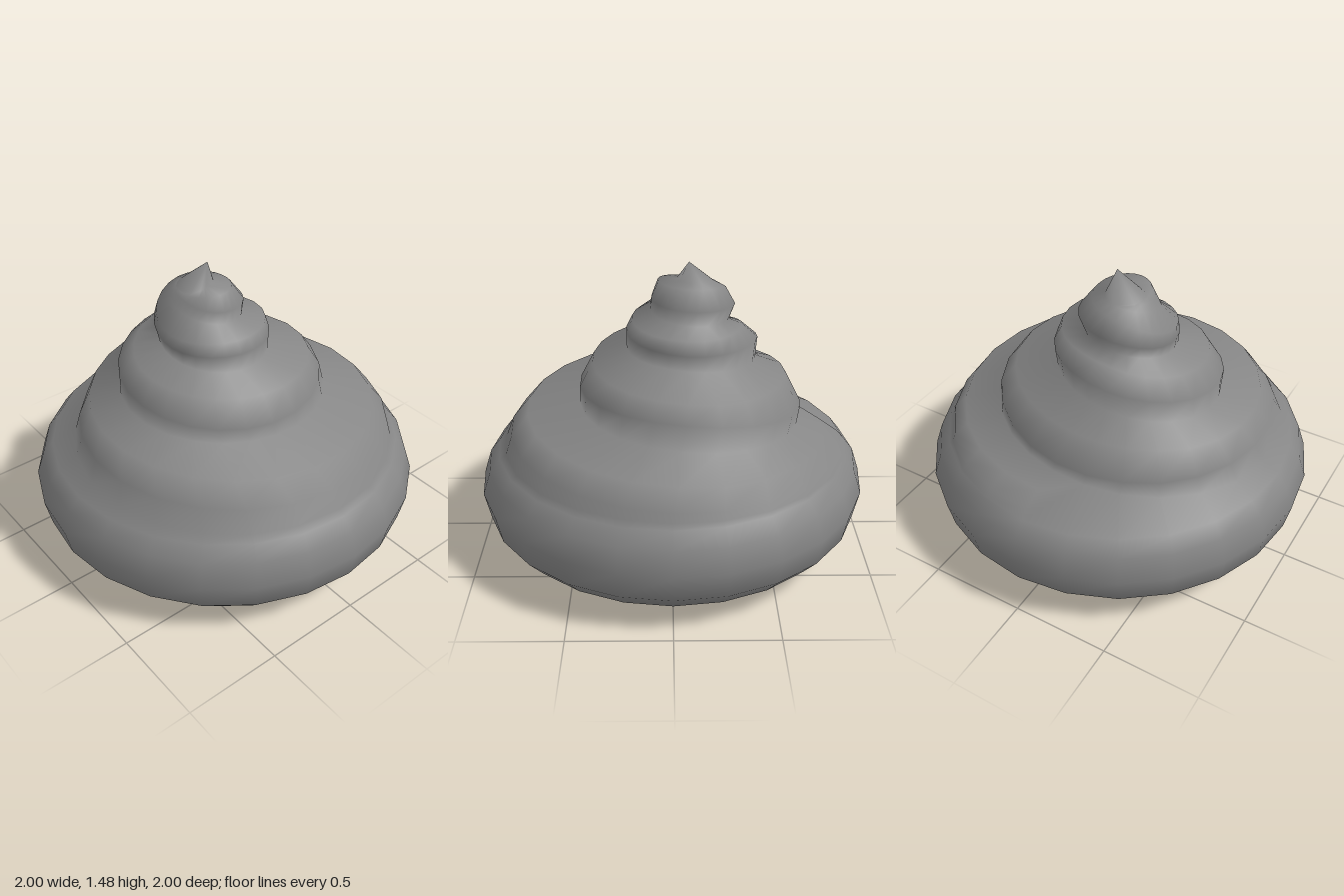
import * as THREE from 'three';
import { mergeVertices } from 'three/addons/utils/BufferGeometryUtils.js';

const STEPS = 6; // segments per quarter turn
const FIRST = -3, LAST = 13; // quarter turns covered by the coil

// Direction of quarter turn t: 0 = -x, 1 = back, 2 = +x, 3 = front
const dir = (t) => [-Math.cos(t * Math.PI / 2), -Math.sin(t * Math.PI / 2)];

// The swirl's axis drifts towards the back right as it rises
const axis = (y) => {
  const s = THREE.MathUtils.smoothstep(y, 0.55, 0.9);
  return [-0.08 * s, -0.07 * s];
};

const place = (t, r, y) => {
  const [dx, dz] = dir(t), [cx, cz] = axis(y);
  return new THREE.Vector3(cx + r * dx, y, cz + r * dz);
};

// Smooth helical line through one [reach, height] pair per quarter turn
function helix(knots) {
  const curve = new THREE.CatmullRomCurve3(knots.map(([reach, y], i) => {
    const [dx, dz] = dir(i + FIRST), [cx, cz] = axis(y);
    return new THREE.Vector3(reach - dx * cx - dz * cz, y, 0);
  }), false, 'catmullrom');
  return (t) => {
    const p = curve.getPoint((t - FIRST) / (knots.length - 1));
    return place(t, p.x, p.y);
  };
}

// Groove between neighbouring turns, then the belly and shoulder of the coil
const groove = helix([
  [0.905, 0.53], [0.875, 0.55], [0.87, 0.55], [0.83, 0.58],
  [0.66, 0.66], [0.58, 0.75], [0.47, 0.78], [0.54, 0.84],
  [0.43, 0.95], [0.26, 1.02], [0.23, 1.04], [0.31, 1.09],
  [0.29, 1.17], [0.12, 1.2], [0.11, 1.24], [0.24, 1.31],
  [0.21, 1.37], [-0.01, 1.38], [-0.04, 1.38], [0.18, 1.37], [0.21, 1.37],
]);
const belly = helix([
  [0.87, 0.57], [0.87, 0.6], [0.83, 0.65], [0.78, 0.68],
  [0.67, 0.73], [0.55, 0.87], [0.47, 0.86], [0.54, 0.95],
  [0.44, 1.07], [0.27, 1.1], [0.23, 1.13], [0.32, 1.15],
  [0.32, 1.25], [0.14, 1.28], [0.1, 1.3], [0.21, 1.35], [0.21, 1.37],
]);
const shoulder = helix([
  [0.78, 0.63], [0.8, 0.69], [0.74, 0.75], [0.71, 0.8],
  [0.59, 0.88], [0.49, 0.95], [0.4, 0.99], [0.46, 1.05],
  [0.36, 1.14], [0.25, 1.17], [0.2, 1.19], [0.32, 1.22],
  [0.27, 1.34], [0.07, 1.37], [0.07, 1.38], [0.19, 1.365], [0.21, 1.37],
]);

// Underside and rounded rim of the bottom turn
const rim = [
  [0.4, 0.05], [0.77, 0.07], [0.89, 0.11],
  [0.97, 0.2], [1, 0.34], [0.96, 0.46], [0.905, 0.53],
];
const foot = new THREE.Vector3(-0.04, 0, -0.06);
const tip = new THREE.Vector3(-0.035, 1.48, -0.085);

// Base cross-section; its last one meets the start of the coil
function baseSection(t) {
  const edge = t < FIRST + 4 ? [groove(t), groove(t)] : [belly(FIRST), shoulder(FIRST)];
  return [foot, ...rim.map(([r, y]) => place(t, r, y)), ...edge, groove(t)];
}

// Adds a skin over the cross-sections given by section(t), from t0 to t1
function addSkin(out, t0, t1, section) {
  const count = (t1 - t0) * STEPS;
  for (let i = 0; i < count; i++) {
    const a = section(t0 + i / STEPS), b = section(t0 + (i + 1) / STEPS);
    for (let j = 0; j < a.length - 1; j++) {
      const tris = [[a[j], a[j + 1], b[j]], [b[j], a[j + 1], b[j + 1]]];
      for (const [p, q, r] of tris) {
        if (p.distanceTo(q) < 1e-4 || q.distanceTo(r) < 1e-4 || r.distanceTo(p) < 1e-4) continue;
        for (const v of [p, q, r]) out.push(v.x, v.y, v.z);
      }
    }
  }
}

export function createModel() {
  const positions = [];
  // Base turn
  addSkin(positions, FIRST, FIRST + 4, baseSection);
  // Rising coil: each turn ends on the groove of the next
  addSkin(positions, FIRST, LAST, (t) => [groove(t), belly(t), shoulder(t), groove(t + 4)]);
  // Pointed tip
  addSkin(positions, LAST, LAST + 4, (t) => [groove(t), tip]);

  let geometry = new THREE.BufferGeometry();
  geometry.setAttribute('position', new THREE.Float32BufferAttribute(positions, 3));
  geometry = mergeVertices(geometry, 1e-4);
  geometry.computeVertexNormals();

  const swirl = new THREE.Mesh(geometry,
    new THREE.MeshStandardMaterial({ color: 0x868686, side: THREE.DoubleSide }));
  swirl.name = 'swirl';
  const group = new THREE.Group();
  group.name = 'coiledSwirl';
  group.add(swirl);
  return group;
}
